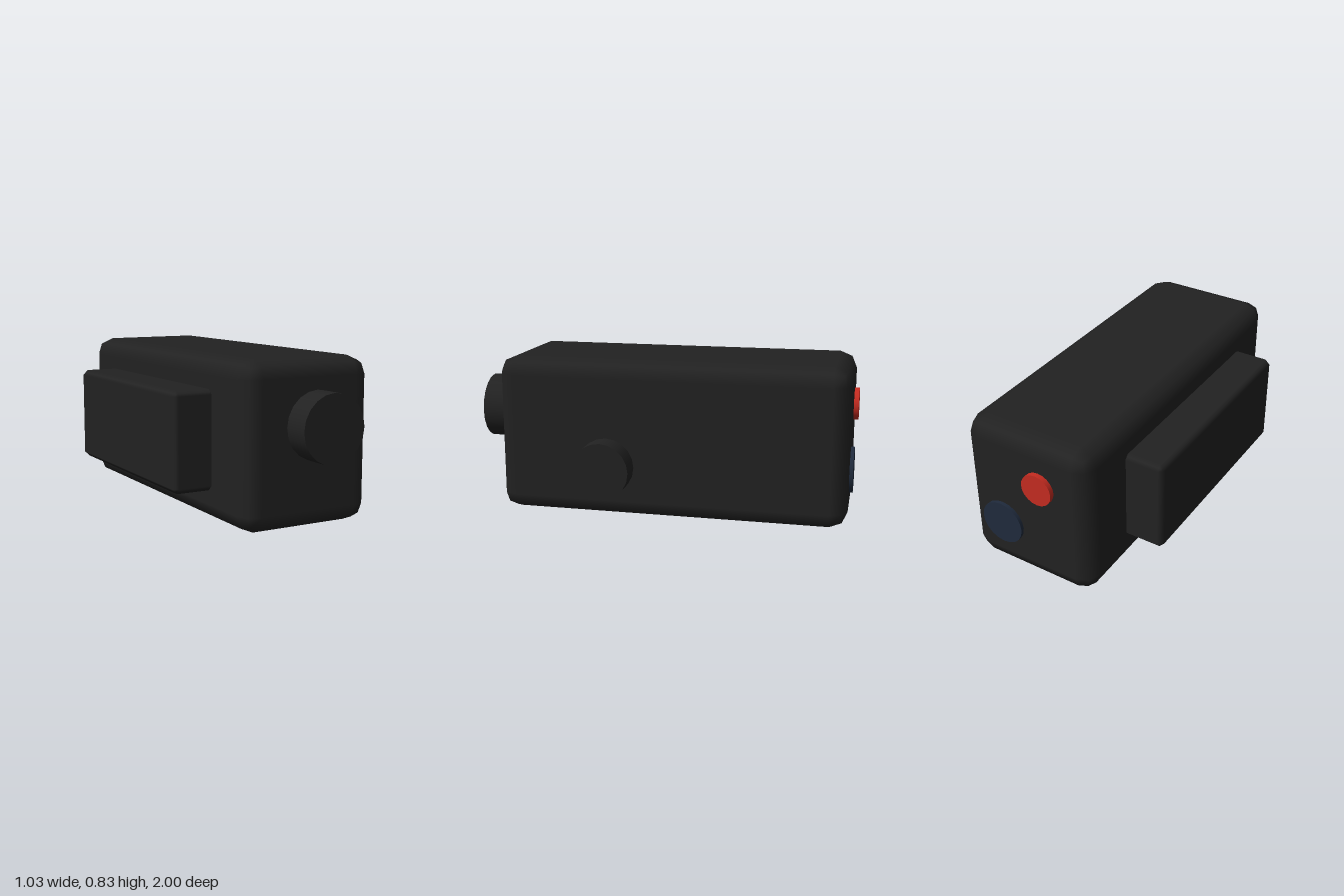
import * as THREE from 'three';

const black = new THREE.MeshStandardMaterial({ name: 'black', color: 0x222222 });
const red = new THREE.MeshStandardMaterial({ name: 'red', color: 0xc42b20 });
const navy = new THREE.MeshStandardMaterial({ name: 'navy', color: 0x1f2a3c });

// Box with bevelled edges: round gives a two-step arc, otherwise a single flat chamfer
function bevelBox(name, min, max, r, round) {
  const geo = new THREE.BoxGeometry(1, 1, 1, 3, 3, 3);
  const pos = geo.attributes.position;
  const lo = new THREE.Vector3(...min);
  const hi = new THREE.Vector3(...max);
  const half = hi.clone().sub(lo).multiplyScalar(0.5);
  const centre = hi.clone().add(lo).multiplyScalar(0.5);
  const step = (v) => (Math.abs(v) > 0.4 ? Math.sign(v) : 0);
  for (let i = 0; i < pos.count; i++) {
    const p = [pos.getX(i), pos.getY(i), pos.getZ(i)];
    const d = new THREE.Vector3(...p.map(step));
    const n = d.clone().normalize();
    const offset = round ? n.clone() : d.clone().divideScalar(d.manhattanLength());
    const h = [half.x, half.y, half.z];
    const inner = new THREE.Vector3(...p.map((v, k) => Math.sign(v) * (h[k] - r)));
    inner.addScaledVector(offset, r);
    pos.setXYZ(i, inner.x, inner.y, inner.z);
    geo.attributes.normal.setXYZ(i, n.x, n.y, n.z);
  }
  const mesh = new THREE.Mesh(geo, black);
  mesh.name = name;
  mesh.position.copy(centre);
  return mesh;
}

// Disc or knob lying along the x or z axis
function knob(name, axis, r, length, centre, material) {
  const geo = new THREE.CylinderGeometry(r, r, length, 20);
  if (axis === 'x') geo.rotateZ(-Math.PI / 2);
  else geo.rotateX(Math.PI / 2);
  const mesh = new THREE.Mesh(geo, material);
  mesh.name = name;
  mesh.position.set(...centre);
  return mesh;
}

export function createModel() {
  const model = new THREE.Group();
  model.name = 'camera';
  model.add(
    // Main housing and the slab on its right side
    bevelBox('body', [-0.31, 0, -0.975], [0.4, 0.826, 0.86], 0.09, true),
    bevelBox('sidePanel', [-0.516, 0.164, -0.652], [-0.29, 0.666, 0.535], 0.026, false),
    // Lens in front and dial on the left side
    knob('lens', 'z', 0.171, 0.2, [0.08, 0.506, 0.9], black),
    knob('sideDial', 'x', 0.148, 0.17, [0.43, 0.276, 0.267], black),
    // Rear buttons
    knob('redButton', 'z', 0.085, 0.06, [-0.038, 0.576, -0.97], red),
    knob('navyButton', 'z', 0.118, 0.06, [0.193, 0.278, -0.963], navy),
  );
  return model;
}
